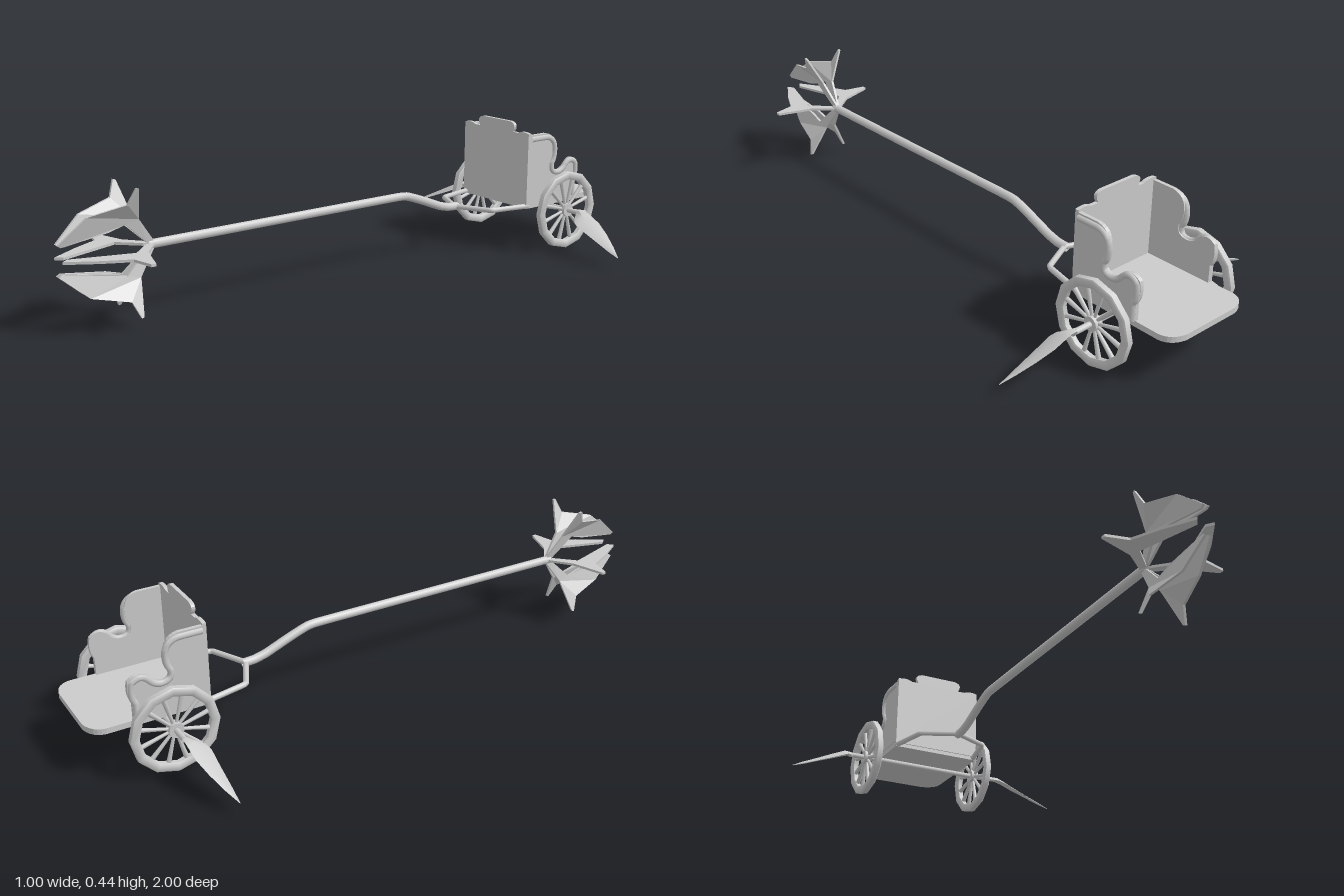
import * as THREE from 'three';
import { toCreasedNormals } from 'three/addons/utils/BufferGeometryUtils.js';

const mat = new THREE.MeshStandardMaterial({ color: 0xcccccc, side: THREE.DoubleSide });
const AXLE_Y = 0.137, AXLE_Z = -0.773, POLE_Y = 0.225;
const V = (x, y, z) => new THREE.Vector3(x, y, z);

function add(parent, name, geo, x = 0, y = 0, z = 0) {
  const m = new THREE.Mesh(geo, mat);
  m.name = name;
  m.position.set(x, y, z);
  parent.add(m);
  return m;
}

function tube(points, r, sides = 8, steps = 40, tension = 0.2, closed = false) {
  const c = new THREE.CatmullRomCurve3(points, closed, 'catmullrom', tension);
  return new THREE.TubeGeometry(c, steps, r, sides, closed);
}

// Thin solid from an outline of [z, radius, sideways], placed by a mapping
function fin(outline, place, t = 0.004) {
  const tris = THREE.ShapeUtils.triangulateShape(outline.map(p => new THREE.Vector2(p[0], p[1])), []);
  const n = outline.length, pos = [], idx = [];
  for (const o of [t, -t]) for (const [z, r, s] of outline) pos.push(...place(z, r, s + o));
  for (const [a, b, c] of tris) idx.push(a, b, c, a + n, c + n, b + n);
  for (let i = 0; i < n; i++) {
    const j = (i + 1) % n;
    idx.push(i, i + n, j, j, i + n, j + n);
  }
  const g = new THREE.BufferGeometry();
  g.setAttribute('position', new THREE.Float32BufferAttribute(pos, 3));
  g.setIndex(idx);
  const flat = g.toNonIndexed();
  flat.computeVertexNormals();
  return flat;
}

// Six barbed fins at the tip of the pole
function spearHead() {
  const g = new THREE.Group();
  g.name = 'spearHead';
  const flat = [[0.70, 0, 0], [0.765, 0.08, 0], [0.80, 0.19, 0], [0.814, 0.19, 0], [0.83, 0.12, 0],
    [0.91, 0.08, 0], [0.995, 0.027, 0], [0.975, 0.012, 0], [0.795, 0.068, 0], [0.735, 0.008, 0]];
  const steep = [[0.70, 0, 0], [0.76, 0.085, 0.018], [0.782, 0.185, 0.07], [0.79, 0.187, 0.071], [0.81, 0.14, 0.054],
    [0.92, 0.115, 0.026], [1.0, 0.045, 0.008], [0.99, 0.038, 0.006], [0.85, 0.06, 0.014], [0.80, 0.075, 0.016], [0.73, 0.008, 0.004]];
  for (const sx of [1, -1]) {
    add(g, 'sideFin', fin(flat, (z, r, s) => [sx * r, s, z]), 0, POLE_Y, 0);
    for (const sy of [1, -1])
      add(g, 'steepFin', fin(steep, (z, r, s) => [sx * s, sy * r, z]), 0, POLE_Y, 0);
  }
  return g;
}

// Wheel in the yz plane, axis along x
function wheel() {
  const g = new THREE.Group();
  g.name = 'wheel';
  const w = 0.0125, profile = [[0.108, -w * 0.6], [0.116, -w], [0.13, -w], [0.135, -w * 0.7], [0.135, w * 0.7],
    [0.13, w], [0.116, w], [0.108, w * 0.6], [0.108, -w * 0.6]].map(p => new THREE.Vector2(...p));
  const rim = new THREE.LatheGeometry(profile, 12).rotateZ(Math.PI / 2);
  add(g, 'rim', toCreasedNormals(rim, 0.9));
  add(g, 'hub', new THREE.CylinderGeometry(0.023, 0.023, 0.026, 12).rotateZ(Math.PI / 2));
  for (let i = 0; i < 12; i++) {
    const s = new THREE.CylinderGeometry(0.008, 0.005, 0.095, 6).translate(0, 0.066, 0);
    add(g, 'spoke', s.rotateX((i + 0.5) * Math.PI / 6));
  }
  return g;
}

// Curved leaf blade on the axle end: sections of [x, y, z] centre, half width and slope
function scythe(sx) {
  const sections = [[0.27, 0.138, -0.77, 0.009, 0.008], [0.30, 0.131, -0.752, 0.03, 0.009], [0.32, 0.122, -0.747, 0.034, 0.008],
    [0.36, 0.105, -0.746, 0.032, 0.007], [0.41, 0.082, -0.738, 0.024, 0.005], [0.46, 0.058, -0.727, 0.013, 0.004], [0.5, 0.039, -0.717, 0.001, 0.001]];
  const pos = [], idx = [], n = 4;
  for (const [x, y, z, h, t] of sections)
    for (const [a, b] of [[-1, 0], [0, 1], [1, 0], [0, -1]])
      pos.push(sx * (x + b * t * 0.5), y + b * t - a * h * 0.4, z + a * h);
  for (let i = 0; i < sections.length - 1; i++)
    for (let k = 0; k < n; k++) {
      const a = i * n + k, b = i * n + (k + 1) % n;
      if (sx > 0) idx.push(a, a + n, b, b, a + n, b + n);
      else idx.push(a, b, a + n, b, b + n, a + n);
    }
  const g = new THREE.BufferGeometry();
  g.setAttribute('position', new THREE.Float32BufferAttribute(pos, 3));
  g.setIndex(idx);
  g.computeVertexNormals();
  return toCreasedNormals(g, 0.7);
}

// Stepped side wall outline; u runs towards the back
function sideShape() {
  const s = new THREE.Shape();
  s.moveTo(0.64, 0.165);
  s.lineTo(0.64, 0.402);
  s.lineTo(0.72, 0.402);
  s.quadraticCurveTo(0.765, 0.395, 0.765, 0.35);
  s.quadraticCurveTo(0.765, 0.32, 0.75, 0.30);
  s.quadraticCurveTo(0.745, 0.265, 0.785, 0.265);
  s.quadraticCurveTo(0.81, 0.268, 0.825, 0.29);
  s.quadraticCurveTo(0.85, 0.315, 0.878, 0.29);
  s.quadraticCurveTo(0.888, 0.25, 0.87, 0.22);
  s.lineTo(0.87, 0.165);
  s.closePath();
  return s;
}

function body() {
  const g = new THREE.Group();
  g.name = 'body';
  // Floor with rounded rear corners
  const f = new THREE.Shape();
  f.moveTo(-0.155, 0.64);
  f.lineTo(0.155, 0.64);
  f.lineTo(0.155, 0.95);
  f.quadraticCurveTo(0.15, 0.99, 0.10, 1.0);
  f.lineTo(-0.10, 1.0);
  f.quadraticCurveTo(-0.15, 0.99, -0.155, 0.95);
  f.closePath();
  const floor = new THREE.ExtrudeGeometry(f, { depth: 0.018, bevelEnabled: false, curveSegments: 6 });
  add(g, 'floor', floor.rotateX(-Math.PI / 2), 0, 0.147, 0);

  // Front wall with a raised crest
  const p = new THREE.Shape();
  p.moveTo(-0.157, 0.16);
  p.lineTo(0.157, 0.16);
  p.lineTo(0.157, 0.408);
  p.quadraticCurveTo(0.125, 0.416, 0.105, 0.405);
  p.lineTo(0.08, 0.405);
  p.quadraticCurveTo(0.10, 0.435, 0.065, 0.44);
  p.lineTo(-0.065, 0.44);
  p.quadraticCurveTo(-0.10, 0.435, -0.08, 0.405);
  p.lineTo(-0.105, 0.405);
  p.quadraticCurveTo(-0.125, 0.416, -0.157, 0.408);
  p.closePath();
  add(g, 'frontWall', new THREE.ExtrudeGeometry(p, { depth: 0.012, bevelEnabled: false, curveSegments: 6 }), 0, 0, -0.648);

  // Side walls with a raised border on the outside
  const shape = sideShape();
  const edge = shape.getPoints(5).slice(1, -1);
  for (const sx of [1, -1]) {
    const wall = new THREE.ExtrudeGeometry(shape, { depth: 0.012, bevelEnabled: false, curveSegments: 6 });
    add(g, 'sideWall', wall.rotateY(Math.PI / 2), sx * 0.151 - 0.006, 0, 0);
    const path = edge.map(q => V(sx * 0.157, 0.17 + (q.y - 0.17) * 0.94, -(0.76 + (q.x - 0.76) * 0.92)));
    add(g, 'sideBorder', tube(path, 0.010, 6, 60));
  }
  return g;
}

export function createModel() {
  const root = new THREE.Group();
  root.name = 'chariot';
  root.add(body(), spearHead());

  // Draught pole dipping down to the fork
  const pole = [V(0, POLE_Y, 0.725), V(0, POLE_Y, 0.3), V(0, POLE_Y, -0.2), V(0, 0.217, -0.25), V(0, 0.195, -0.31),
    V(0, 0.167, -0.38), V(0, 0.157, -0.42), V(0, 0.155, -0.46)];
  add(root, 'pole', tube(pole, 0.014, 8, 60));
  for (const sx of [1, -1]) {
    const arm = [V(0, 0.155, -0.45), V(sx * 0.115, 0.155, -0.505), V(sx * 0.122, 0.155, -0.52), V(sx * 0.15, 0.155, -0.65)];
    add(root, 'forkArm', tube(arm, 0.009, 8, 24, 0.1));
  }

  // Axle, wheels and end blades
  add(root, 'axle', new THREE.CylinderGeometry(0.009, 0.009, 0.56, 8).rotateZ(Math.PI / 2), 0, AXLE_Y, AXLE_Z);
  for (const sx of [1, -1]) {
    const w = wheel();
    w.position.set(sx * 0.2125, AXLE_Y, AXLE_Z);
    root.add(w);
    add(root, 'scytheBlade', scythe(sx));
  }
  return root;
}
